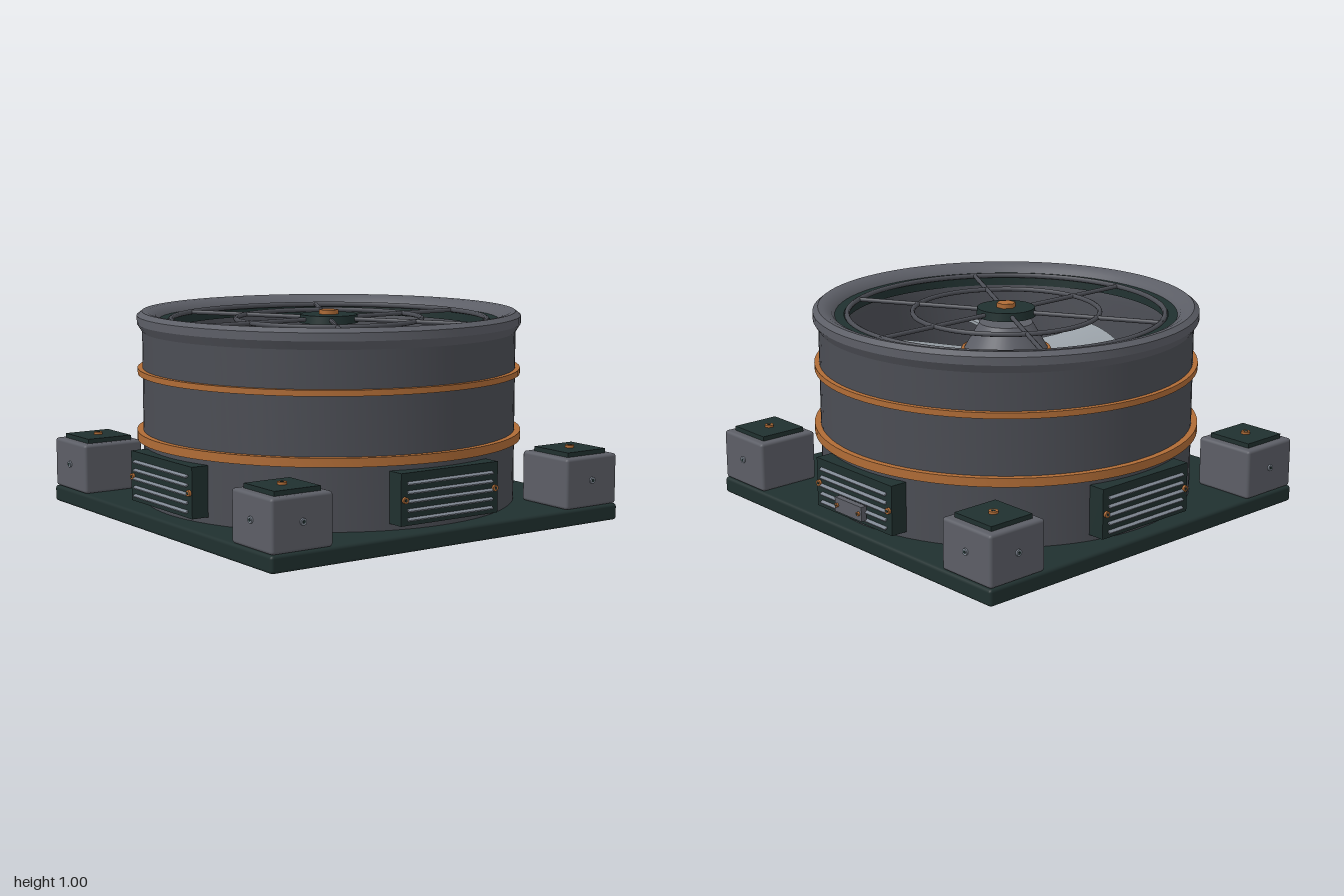
import * as THREE from 'three';
import { toCreasedNormals } from 'three/addons/utils/BufferGeometryUtils.js';
import { RoundedBoxGeometry } from 'three/addons/geometries/RoundedBoxGeometry.js';

const material = (name, color) => {
  const m = new THREE.MeshStandardMaterial({ color });
  m.name = name;
  return m;
};

export function createModel() {
  const model = new THREE.Group();
  model.name = 'axialFan';
  const darkGreen = material('dark green', 0x20302f);
  const bodyGrey = material('body grey', 0x4b4d54);
  const trimGrey = material('trim grey', 0x5c5e66);
  const copper = material('copper', 0xb06c36);
  const bladeGrey = material('blade grey', 0xa3abb2);
  const steel = material('steel', 0x7d8590);

  const add = (parent, name, geometry, mat, x = 0, y = 0, z = 0) => {
    const mesh = new THREE.Mesh(geometry, mat);
    mesh.name = name;
    mesh.position.set(x, y, z);
    parent.add(mesh);
    return mesh;
  };
  const group = (name, parent = model) => {
    const g = new THREE.Group();
    g.name = name;
    parent.add(g);
    return g;
  };
  const box = (w, h, d) => new THREE.BoxGeometry(w, h, d);
  const cyl = (r0, r1, h, n = 48) => new THREE.CylinderGeometry(r0, r1, h, n);
  const lathe = (pts, n = 80) => toCreasedNormals(
    new THREE.LatheGeometry(pts.map(([x, y]) => new THREE.Vector2(x, y)), n), 0.5);
  const ring = (r, tube) => new THREE.TorusGeometry(r, tube, 8, 80).rotateX(Math.PI / 2);

  // Base plate
  add(model, 'basePlate', new RoundedBoxGeometry(2, 0.08, 2, 2, 0.015), darkGreen, 0, 0.04, 0);

  // Round housing: outer wall, inner wall and rolled lip
  add(model, 'housing', lathe([[0.91, 0.08], [0.91, 0.91], [0.79, 0.91], [0.78, 0.86], [0.78, 0.08]]), bodyGrey);
  add(model, 'lip', lathe([
    [0.91, 0.9], [0.935, 0.94], [0.935, 0.978], [0.91, 0.998], [0.885, 0.995],
    [0.845, 0.975], [0.82, 0.94], [0.81, 0.9]]), trimGrey);
  add(model, 'throatRing', lathe([[0.83, 0.92], [0.83, 0.955], [0.785, 0.955], [0.78, 0.9]]), darkGreen);

  // Copper bands around the housing
  const band = (y, h, r) => add(model, 'copperBand', lathe([
    [0.905, y - h / 2], [r, y - h / 2], [r, y + h / 2], [0.905, y + h / 2]]), copper);
  band(0.4, 0.042, 0.94);
  band(0.71, 0.028, 0.934);

  // Guard grille: rings, six spokes, centre cap and hex bolt
  const grille = group('grille');
  add(grille, 'outerRing', ring(0.77, 0.013), bodyGrey, 0, 0.955);
  add(grille, 'middleRing', ring(0.455, 0.012), bodyGrey, 0, 0.955);
  for (let i = 0; i < 6; i++) {
    const spoke = group('spoke', grille);
    spoke.rotation.y = Math.PI / 6 + i * Math.PI / 3;
    add(spoke, 'spokeRod', cyl(0.011, 0.011, 0.68, 10).rotateZ(Math.PI / 2), bodyGrey, 0.44, 0.955);
  }
  add(grille, 'centreCap', cyl(0.14, 0.145, 0.04), darkGreen, 0, 0.955);
  add(grille, 'hexBolt', cyl(0.047, 0.047, 0.024, 6).rotateY(Math.PI / 6), copper, 0, 0.985);

  // Fan hub
  const fan = group('fan');
  add(fan, 'hubBody', cyl(0.21, 0.21, 0.26), bodyGrey, 0, 0.64);
  add(fan, 'hubNose', cyl(0.13, 0.205, 0.13), trimGrey, 0, 0.835);
  add(fan, 'hubBand', ring(0.208, 0.012), copper, 0, 0.765);

  // Seven swept, pitched blades: a slab bent by edge angles along the radius
  const bladeGeometry = new THREE.BoxGeometry(1, 0.016, 1, 8, 1, 12);
  const p = bladeGeometry.attributes.position;
  const curve = (a, b, c, t) => // parabola through three stations
    a * (1 - t) * (1 - 2 * t) + b * 4 * t * (1 - t) + c * t * (2 * t - 1);
  for (let i = 0; i < p.count; i++) {
    const u = p.getX(i), t = p.getZ(i) + 0.5;
    const high = curve(133, 111, 101, t), low = curve(74, 80, 77, t);
    const angle = THREE.MathUtils.degToRad(high + (low - high) * (u + 0.5));
    const r = 0.19 + 0.56 * t;
    const y = 0.665 + p.getY(i) + u * (0.17 - 0.04 * t) + 0.02 * (1 - 4 * u * u);
    p.setXYZ(i, r * Math.cos(angle), y, r * Math.sin(angle));
  }
  bladeGeometry.computeVertexNormals();
  for (let i = 0; i < 7; i++) {
    add(fan, 'blade', bladeGeometry, bladeGrey).rotation.y = i * 2 * Math.PI / 7;
  }

  // Motor below the fan with four diagonal struts
  const motor = group('motor');
  add(motor, 'motorBody', cyl(0.19, 0.19, 0.3), bodyGrey, 0, 0.38);
  for (let i = 0; i < 4; i++) {
    const arm = group('motorStrut', motor);
    arm.rotation.y = Math.PI / 4 + i * Math.PI / 2;
    add(arm, 'strutBar', box(0.62, 0.06, 0.07), bodyGrey, 0.475, 0.38);
  }

  // Corner blocks with a dark top plate and bolts
  const socketBolt = (parent, x, y, z, mat, r) => {
    const bolt = group('bolt', parent);
    bolt.position.set(x, y, z);
    add(bolt, 'boltHead', cyl(r, r, 0.012, 16), mat, 0, 0.006);
    add(bolt, 'boltSocket', cyl(r * 0.5, r * 0.5, 0.002, 6), darkGreen, 0, 0.0125);
    return bolt;
  };
  for (const sx of [1, -1]) for (const sz of [1, -1]) {
    const corner = group('cornerBlock');
    corner.position.set(sx * 0.835, 0, sz * 0.835);
    add(corner, 'block', new RoundedBoxGeometry(0.32, 0.245, 0.32, 2, 0.015), trimGrey, 0, 0.203, 0);
    add(corner, 'topPlate', box(0.24, 0.025, 0.24), darkGreen, 0, 0.335, 0);
    socketBolt(corner, 0, 0.347, 0, copper, 0.022);
    socketBolt(corner, sx * 0.156, 0.21, 0, steel, 0.016).rotation.z = -sx * Math.PI / 2;
    socketBolt(corner, 0, 0.21, sz * 0.156, steel, 0.016).rotation.x = sz * Math.PI / 2;
  }

  // Louvred vents on four sides
  for (let i = 0; i < 4; i++) {
    const vent = group('vent');
    vent.rotation.y = i * Math.PI / 2;
    add(vent, 'ventPlate', box(0.56, 0.24, 0.085), darkGreen, 0, 0.232, 0.9125);
    for (let j = 0; j < 5; j++) {
      add(vent, 'louvre', box(0.49, 0.008, 0.03), steel, 0, 0.143 + j * 0.041, 0.955).rotation.x = 0.5;
    }
    for (const s of [1, -1]) {
      socketBolt(vent, s * 0.26, 0.23, 0.955, copper, 0.015).rotation.x = Math.PI / 2;
    }
  }

  // Small badge plate low on the back vent
  const badge = group('backPlate');
  add(badge, 'plate', box(0.2, 0.07, 0.03), trimGrey, 0, 0.175, -0.975);
  for (const s of [1, -1]) {
    socketBolt(badge, s * 0.08, 0.175, -0.988, copper, 0.01).rotation.x = -Math.PI / 2;
  }
  return model;
}
